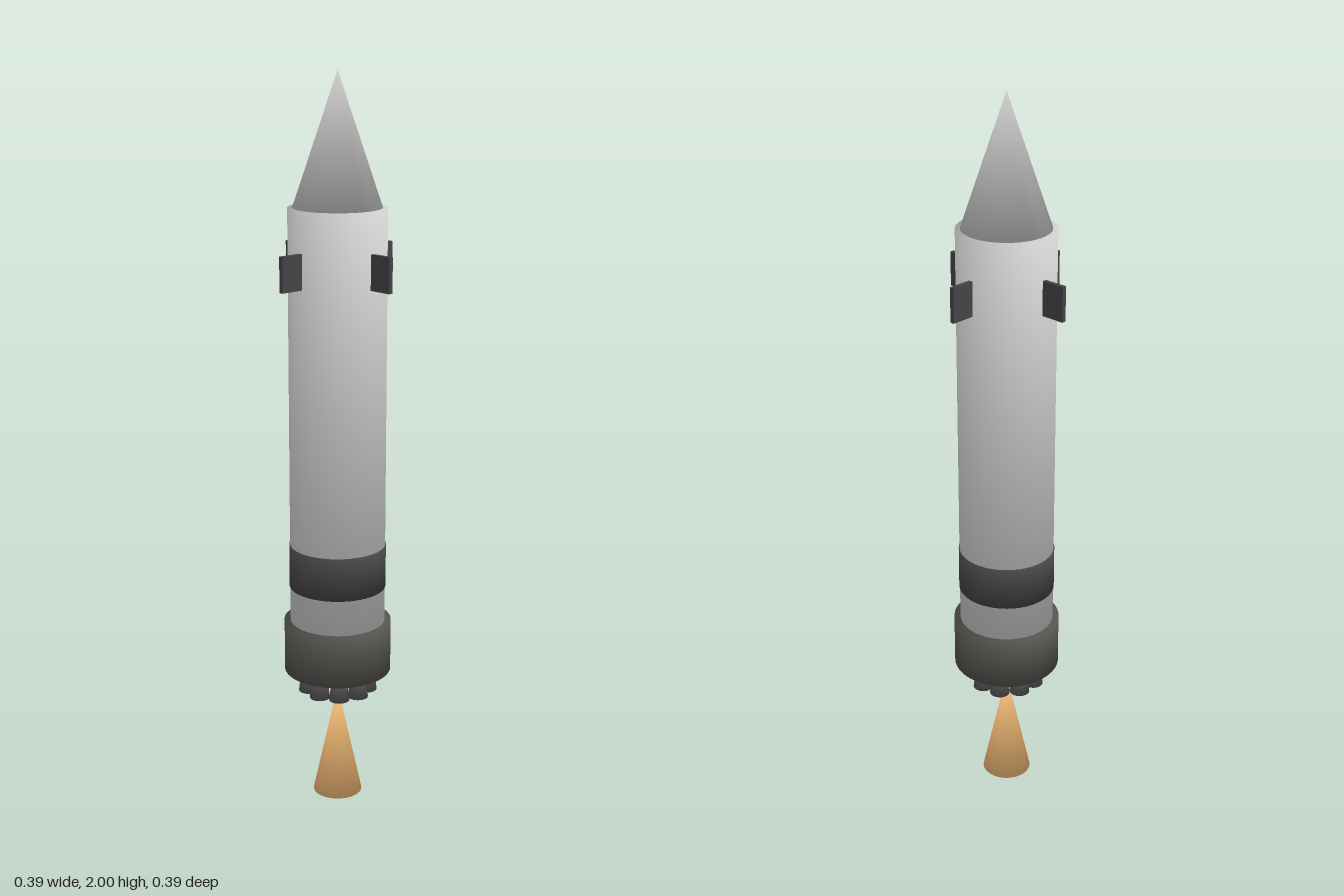
import * as THREE from 'three';

const paint = (color) => new THREE.MeshStandardMaterial({ color });
const white = paint(0xcccccc);
const dark = paint(0x454548);
const baseGrey = paint(0x55534f);
const nozzleGrey = paint(0x5a5a5a);
const flameOrange = paint(0xffc47c);

// Closed round part from y0 to y1, with normals blended softly across the rims
function roundPart(name, rBottom, rTop, y0, y1, material, segments = 48) {
  const h = y1 - y0;
  const geo = new THREE.CylinderGeometry(rTop, rBottom, h, segments);
  const { position, normal } = geo.attributes;
  const slope = (rBottom - rTop) / h;
  const side = new THREE.Vector3();
  for (let i = 0; i < position.count; i++) {
    const x = position.getX(i), z = position.getZ(i);
    const up = Math.sign(position.getY(i));
    const r = Math.hypot(x, z);
    if (r < 1e-6) {
      side.set(0, up, 0);
    } else {
      side.set(x / r, slope, z / r).normalize();
      side.y += up;
      side.normalize();
    }
    normal.setXYZ(i, side.x, side.y, side.z);
  }
  const mesh = new THREE.Mesh(geo, material);
  mesh.name = name;
  mesh.position.y = (y0 + y1) / 2;
  return mesh;
}

export function createModel() {
  const model = new THREE.Group();
  model.name = 'rocket';

  // Hull, nose and bands
  model.add(
    roundPart('body', 0.13, 0.13, 0.375, 1.655, white),
    roundPart('noseCone', 0.117, 0, 1.655, 2, white),
    roundPart('interstageBand', 0.132, 0.132, 0.62, 0.74, dark),
    roundPart('engineBase', 0.147, 0.147, 0.375, 0.52, baseGrey),
    roundPart('exhaustFlame', 0.068, 0, 0, 0.315, flameOrange)
  );

  // Four grid fins near the top
  const fins = new THREE.Group();
  fins.name = 'fins';
  for (let i = 0; i < 4; i++) {
    const fin = new THREE.Mesh(new THREE.BoxGeometry(0.076, 0.093, 0.012), dark);
    fin.name = 'fin';
    const a = (i * Math.PI) / 2;
    fin.position.set(0.158 * Math.cos(a), 1.502, -0.158 * Math.sin(a));
    fin.rotation.y = a;
    fins.add(fin);
  }
  model.add(fins);

  // Ring of nine engine nozzles
  const engines = new THREE.Group();
  engines.name = 'engines';
  for (let i = 0; i < 9; i++) {
    const a = (i / 9) * Math.PI * 2;
    const nozzle = roundPart('nozzle', 0.028, 0.019, 0.312, 0.385, nozzleGrey, 16);
    nozzle.position.x = 0.082 * Math.cos(a);
    nozzle.position.z = 0.082 * Math.sin(a);
    engines.add(nozzle);
  }
  model.add(engines);

  return model;
}
